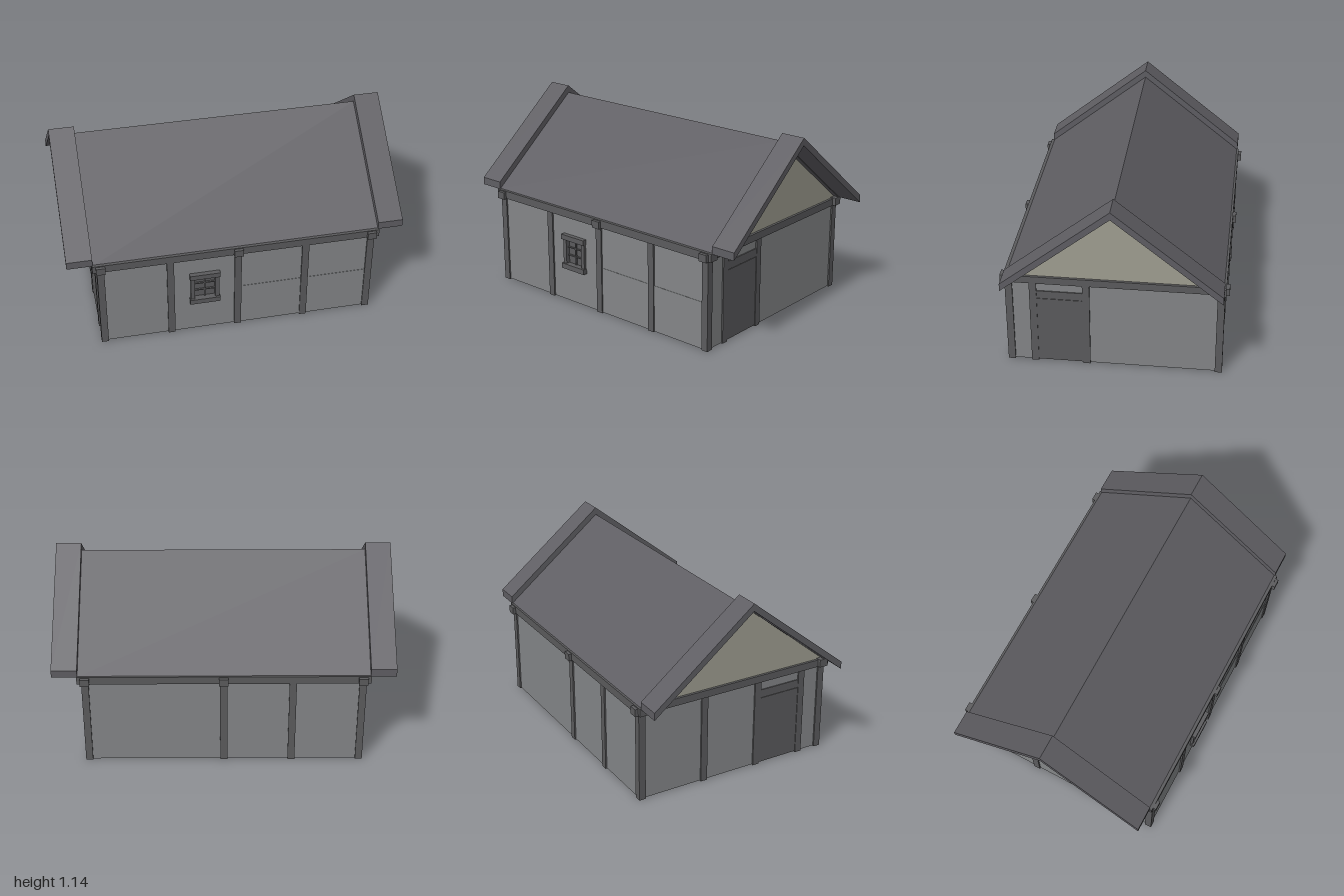
import * as THREE from 'three';

const mat = (name, color) => {
  const m = new THREE.MeshStandardMaterial({ color });
  m.name = name;
  return m;
};

export function createModel() {
  const wallMat = mat('greyPlaster', 0x848688);
  const timberMat = mat('darkTimber', 0x5b5b5d);
  const roofMat = mat('roofSlate', 0x5f5e63);
  const gableMat = mat('paleGable', 0xa09f92);
  const house = new THREE.Group();
  house.name = 'house';

  const add = (name, geo, material) => {
    const mesh = new THREE.Mesh(geo, material);
    mesh.name = name;
    house.add(mesh);
    return mesh;
  };
  // Box given by its minimum and maximum on each axis
  const box = (name, material, x0, x1, y0, y1, z0, z1) => {
    const mesh = add(name, new THREE.BoxGeometry(x1 - x0, y1 - y0, z1 - z0), material);
    mesh.position.set((x0 + x1) / 2, (y0 + y1) / 2, (z0 + z1) / 2);
    return mesh;
  };
  // Profile drawn as [z, y] points and extruded along x
  const alongX = (name, material, pts, x0, x1) => {
    const shape = new THREE.Shape(pts.map(([z, y]) => new THREE.Vector2(-z, y)));
    const geo = new THREE.ExtrudeGeometry(shape, { depth: x1 - x0, bevelEnabled: false });
    geo.rotateY(Math.PI / 2);
    geo.translate(x0, 0, -0.003);
    return add(name, geo, material);
  };

  const X = 0.808, Z = 0.61, TOP = 0.55, P = 0.021, W = 0.012;

  // Front wall with a window opening
  const front = new THREE.Shape();
  front.moveTo(-X, 0.004).lineTo(X, 0.004).lineTo(X, TOP).lineTo(-X, TOP).closePath();
  const hole = new THREE.Path();
  hole.moveTo(-0.262, 0.25).lineTo(-0.262, 0.405).lineTo(-0.135, 0.405).lineTo(-0.135, 0.25).closePath();
  front.holes.push(hole);
  const frontGeo = new THREE.ExtrudeGeometry(front, { depth: 2 * W, bevelEnabled: false });
  frontGeo.translate(0, 0, Z - W);
  add('frontWall', frontGeo, wallMat);
  box('lowerFrontPanel', wallMat, 0.02, 0.79, 0.004, 0.29, Z - W, Z + W + 0.002);

  // Back and side walls
  box('backWall', wallMat, -X, X, 0.004, TOP, -Z - W, -Z + W);
  for (const s of [-1, 1]) {
    const c = s * X;
    box('sideWall', wallMat, c - W, c + W, 0.004, TOP, -Z, Z);
  }

  // Posts: corners, front, back and sides
  const post = (name, x, z) => box(name, timberMat, x - P, x + P, 0, TOP, z - P, z + P);
  for (const x of [-X, X]) for (const z of [-Z, Z]) post('cornerPost', x, z);
  for (const x of [-0.402, 0.002, 0.41]) post('frontPost', x, Z);
  for (const x of [-0.402, 0.002]) post('backPost', x, -Z);
  post('sidePost', -X, -0.2);

  // Door with its posts and lintel on each end
  for (const s of [-1, 1]) {
    const c = s * X;
    post('doorPost', c, 0.47);
    post('doorPost', c, 0.163);
    box('doorLintel', timberMat, c - 0.018, c + 0.018, 0.44, 0.49, 0.18, 0.455);
    const d = s * (X + W + 0.002);
    box('door', timberMat, d - 0.003, d + 0.003, 0.008, 0.437, 0.18, 0.45);
  }

  // Wall plates along the length, tie beams across
  for (const z of [-Z, Z]) box('wallPlate', timberMat, -0.855, 0.855, 0.548, 0.596, z - 0.027, z + 0.027);
  for (const x of [-X, 0.002, X]) box('tieBeam', timberMat, x - 0.027, x + 0.027, 0.545, 0.59, -0.656, 0.656);

  // Window: frame, sill, head, pane and glazing bars
  const wz = Z + W;
  for (const [x0, x1] of [[-0.285, -0.26], [-0.137, -0.112]])
    box('windowJamb', timberMat, x0, x1, 0.23, 0.43, wz - 0.03, 0.638);
  box('windowSill', timberMat, -0.29, -0.108, 0.218, 0.25, wz - 0.03, 0.65);
  box('windowHead', timberMat, -0.29, -0.108, 0.405, 0.437, wz - 0.03, 0.65);
  box('windowPane', timberMat, -0.262, -0.135, 0.248, 0.407, Z - 0.002, Z + 0.002);
  box('glazingBar', timberMat, -0.202, -0.195, 0.25, 0.405, Z - 0.008, Z + 0.012);
  for (const y of [0.302, 0.353]) box('glazingBar', timberMat, -0.262, -0.135, y - 0.0035, y + 0.0035, Z - 0.008, Z + 0.012);

  // Roof: thin main cover and a raised band over each gable
  const E = 0.626, EAVE = 0.592, RIDGE = 1.094;
  const chevron = (lo, hi) => [
    [-E, EAVE + lo], [0, RIDGE + lo], [E, EAVE + lo],
    [E, EAVE + hi], [0, RIDGE + hi], [-E, EAVE + hi],
  ];
  alongX('roofCover', roofMat, chevron(-0.006, 0), -0.851, 0.851);
  alongX('roofBandRight', roofMat, chevron(0, 0.046), -1, -0.85);
  alongX('roofBandLeft', roofMat, chevron(0, 0.046), 0.85, 1);

  // Gable triangles
  const tri = [[-E + 0.004, EAVE - 0.003], [E - 0.004, EAVE - 0.003], [0, RIDGE - 0.004]];
  for (const s of [-1, 1]) alongX('gable', gableMat, tri, s * X - W, s * X + W);

  return house;
}
